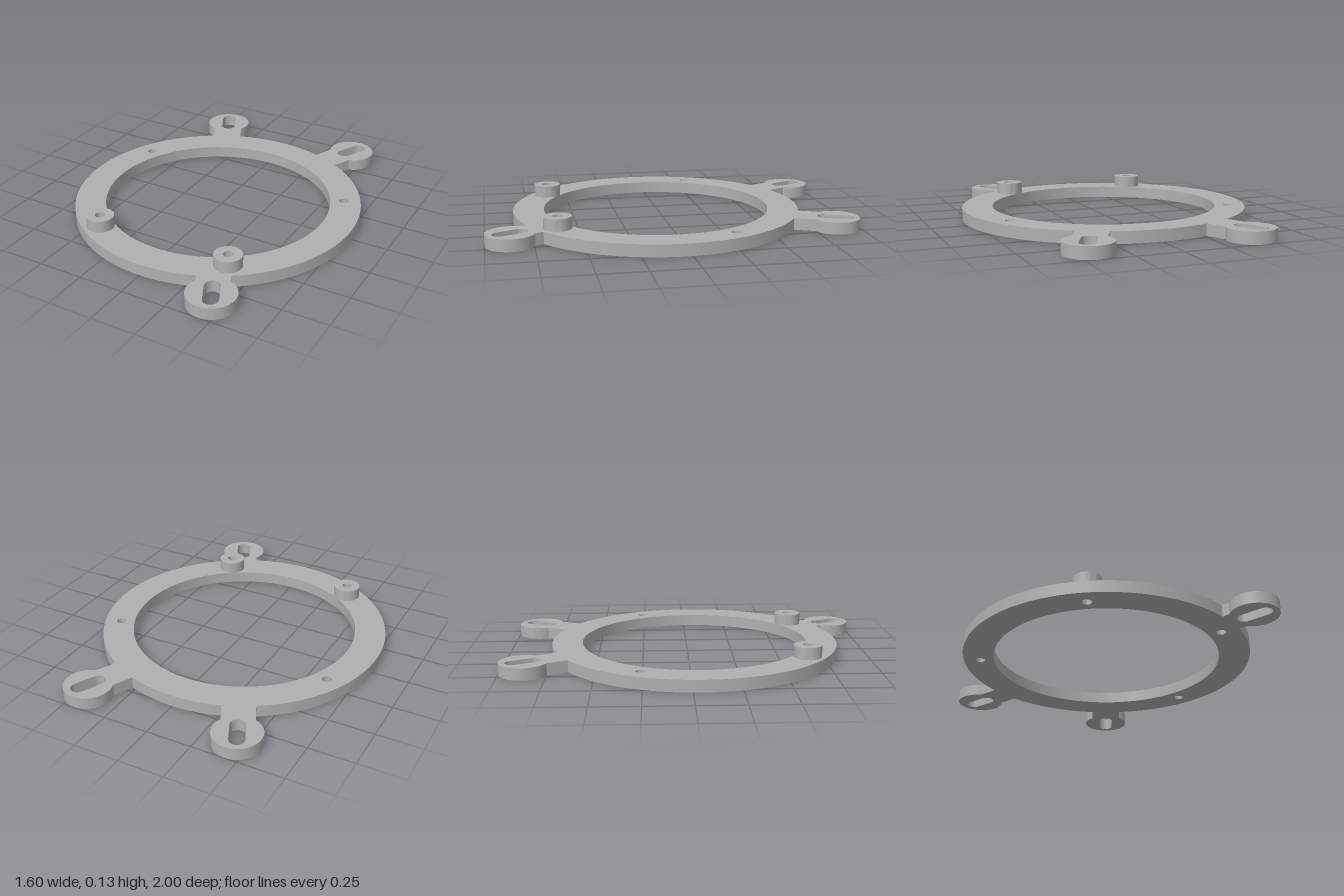
import * as THREE from 'three';
import { toCreasedNormals } from 'three/addons/utils/BufferGeometryUtils.js';

// Plan coordinates: x right, y toward the back (-z)
const THICK = 0.065;
const CENTER = new THREE.Vector2(0, -0.04);
const R_OUT = 0.8, R_IN = 0.63;
const EAR_R = 0.13, ARM_HALF = 0.086;
const TILT = THREE.MathUtils.degToRad(25.5);
const EARS = [
  { x: 0.435, y: -0.87, dir: -Math.PI / 2 + TILT },
  { x: 0.435, y: 0.87, dir: Math.PI / 2 - TILT },
  { x: -0.435, y: 0.87, dir: Math.PI / 2 + TILT },
];

function arcPoints(cx, cy, r, a0, a1, n) {
  const pts = [];
  for (let i = 0; i <= n; i++) {
    const a = a0 + (a1 - a0) * i / n;
    pts.push(new THREE.Vector2(cx + r * Math.cos(a), cy + r * Math.sin(a)));
  }
  return pts;
}

function circle(x, y, r, n) {
  return arcPoints(x, y, r, 0, Math.PI * 2, n).slice(0, -1);
}

// Angle on the outer rim where one side of an ear's arm meets it
function rimAngle(ear, side) {
  const c = Math.cos(ear.dir), s = Math.sin(ear.dir);
  const ox = ear.x - CENTER.x - s * side * ARM_HALF;
  const oy = ear.y - CENTER.y + c * side * ARM_HALF;
  const b = ox * c + oy * s;
  const t = b - Math.sqrt(b * b - (ox * ox + oy * oy - R_OUT * R_OUT));
  return Math.atan2(oy - t * s, ox - t * c);
}

// Rounded slot running along the ear's arm
function slot(ear) {
  const half = 0.058, r = 0.041, d = ear.dir;
  const dx = half * Math.cos(d), dy = half * Math.sin(d);
  return [
    ...arcPoints(ear.x + dx, ear.y + dy, r, d - Math.PI / 2, d + Math.PI / 2, 16),
    ...arcPoints(ear.x - dx, ear.y - dy, r, d + Math.PI / 2, d + Math.PI * 1.5, 16),
  ];
}

function extrudeFlat(outline, holes, depth) {
  const shape = new THREE.Shape(outline);
  for (const h of holes) shape.holes.push(new THREE.Path(h));
  const geo = new THREE.ExtrudeGeometry(shape, { depth, bevelEnabled: false });
  geo.rotateX(-Math.PI / 2);
  return toCreasedNormals(geo, 0.5);
}

export function createModel() {
  const group = new THREE.Group();
  group.name = 'mountingRing';
  const grey = new THREE.MeshStandardMaterial({ color: 0xb0b0b0 });
  grey.name = 'plain grey';

  // Outer outline: ears joined by arcs of the rim, counterclockwise
  const outline = [];
  const sweep = Math.PI - Math.asin(ARM_HALF / EAR_R);
  EARS.forEach((ear, i) => {
    outline.push(...arcPoints(ear.x, ear.y, EAR_R, ear.dir - sweep, ear.dir + sweep, 40));
    const a0 = rimAngle(ear, 1);
    let a1 = rimAngle(EARS[(i + 1) % EARS.length], -1);
    if (a1 < a0) a1 += Math.PI * 2;
    outline.push(...arcPoints(CENTER.x, CENTER.y, R_OUT, a0, a1, Math.ceil((a1 - a0) * 24)));
  });

  // Ring plate with bore, slots and screw holes
  const holes = [circle(CENTER.x, CENTER.y, R_IN, 128), ...EARS.map(slot)];
  for (const side of [-1, 1]) {
    holes.push(circle(side * 0.64, 0.26, 0.026, 24));
    holes.push(circle(side * 0.39, -0.625, 0.027, 24));
  }
  const plate = new THREE.Mesh(extrudeFlat(outline, holes, THICK), grey);
  plate.name = 'ringPlate';
  group.add(plate);

  // Raised bosses around the front screw holes
  for (const side of [-1, 1]) {
    const geo = extrudeFlat(circle(0, 0, 0.075, 48), [circle(0, 0, 0.027, 24)], 0.065);
    const boss = new THREE.Mesh(geo, grey);
    boss.name = side > 0 ? 'leftBoss' : 'rightBoss';
    boss.position.set(side * 0.39, THICK, 0.625);
    group.add(boss);
  }
  return group;
}
